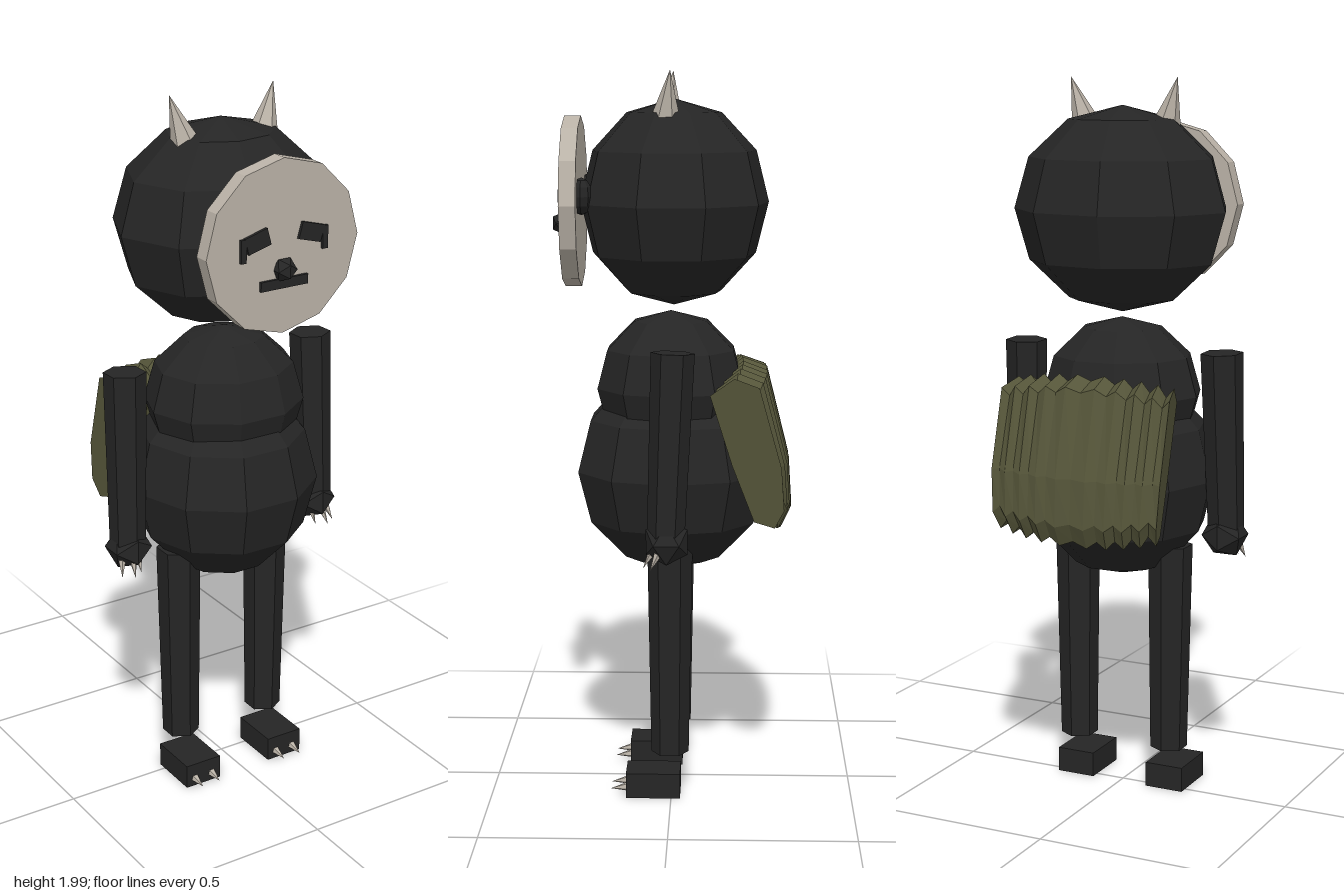
import * as THREE from 'three';

const flat = (name, color, side = THREE.FrontSide) =>
  new THREE.MeshStandardMaterial({ name, color, side, flatShading: true });

export function createModel() {
  const fur = flat('charcoal fur', 0x252525);
  const bone = flat('pale bone', 0xbab2a7);
  const moss = flat('moss green', 0x56563a, THREE.DoubleSide);
  const model = new THREE.Group();
  model.name = 'hornedCreature';

  const add = (name, geometry, material, x, y, z, parent = model) => {
    const mesh = new THREE.Mesh(geometry, material);
    mesh.name = name;
    mesh.position.set(x, y, z);
    parent.add(mesh);
    return mesh;
  };
  const ball = (rx, ry, rz, w, h) => new THREE.SphereGeometry(1, w, h).scale(rx, ry, rz);

  // Cone or tapered limb running between two points
  const UP = new THREE.Vector3(0, 1, 0);
  const limb = (name, from, to, r0, r1, sides, material) => {
    const a = new THREE.Vector3(...from), b = new THREE.Vector3(...to);
    const dir = b.clone().sub(a);
    const mid = a.clone().add(b).multiplyScalar(0.5);
    const mesh = add(name, new THREE.CylinderGeometry(r1, r0, dir.length(), sides), material, mid.x, mid.y, mid.z);
    mesh.quaternion.setFromUnitVectors(UP, dir.normalize());
    return mesh;
  };

  // Head and round body
  add('head', ball(0.305, 0.28, 0.264, 9, 6), fur, 0, 1.645, -0.003);
  add('chest', ball(0.225, 0.21, 0.21, 10, 6), fur, 0.005, 1.14, 0.005);
  add('belly', ball(0.266, 0.285, 0.272, 10, 6), fur, 0, 0.908, 0);

  // Mask with nose and mouth
  const mask = add('mask', new THREE.CylinderGeometry(0.232, 0.232, 0.045, 12), bone, 0, 1.647, 0.2725);
  mask.rotation.x = Math.PI / 2;
  add('nose', new THREE.IcosahedronGeometry(0.034, 0), fur, 0, 1.588, 0.3);
  add('mouth', new THREE.BoxGeometry(0.145, 0.026, 0.009), fur, 0, 1.552, 0.299);

  for (const s of [-1, 1]) {
    const side = s > 0 ? 'left' : 'right';

    // Eye marks on the mask and the bulges behind it
    const eye = add(side + 'EyePatch', new THREE.BoxGeometry(0.07, 0.046, 0.009), fur, s * 0.082, 1.675, 0.299);
    eye.rotation.z = -s * 0.27;
    add(side + 'EyeStreak', new THREE.BoxGeometry(0.016, 0.062, 0.009), fur, s * 0.125, 1.655, 0.299);
    add(side + 'EyeBridge', new THREE.BoxGeometry(0.03, 0.016, 0.009), fur, s * 0.115, 1.678, 0.299);
    add(side + 'EyeBulge', ball(0.05, 0.05, 0.03, 8, 6), fur, s * 0.14, 1.668, 0.24);

    // Horn
    limb(side + 'Horn', [s * 0.122, 1.875, 0.016], [s * 0.16, 2.0, 0.003], 0.039, 0, 6, bone);

    // Arm, hand and claws
    limb(side + 'Arm', [s * 0.31, 0.78, 0.01], [s * 0.3, 1.27, -0.008], 0.05, 0.058, 6, fur);
    add(side + 'Hand', new THREE.IcosahedronGeometry(0.065, 0), fur, s * 0.308, 0.765, 0.008);
    for (const k of [-1, 0, 1]) {
      limb(side + 'HandClaw', [s * 0.315 + k * 0.026, 0.74, 0.045 - Math.abs(k) * 0.015],
        [s * 0.322 + k * 0.03, 0.697, 0.07 - Math.abs(k) * 0.02], 0.011, 0, 5, bone);
    }

    // Leg, foot and toe claws
    limb(side + 'Leg', [s * 0.142, 0.13, 0.004], [s * 0.145, 0.72, 0.004], 0.052, 0.062, 6, fur);
    add(side + 'Foot', new THREE.BoxGeometry(0.112, 0.07, 0.15), fur, s * 0.14, 0.045, 0.05);
    for (const k of [-1, 1]) {
      limb(side + 'ToeClaw', [s * 0.14 + k * 0.028, 0.034, 0.12],
        [s * 0.14 + k * 0.028, 0.028, 0.168], 0.013, 0, 5, bone);
    }
  }

  // Pleated pack: closed side profiles (y, z), alternately full and pulled in
  const profile = [[1.16, -0.13], [1.215, -0.195], [1.19, -0.262], [0.95, -0.322],
    [0.82, -0.33], [0.765, -0.305], [0.78, -0.25], [0.95, -0.19]];
  const columns = 19, n = profile.length;
  const positions = [], index = [];
  for (let i = 0; i < columns; i++) {
    const u = (i / (columns - 1)) * 2 - 1;
    const across = Math.sign(u) * Math.abs(u) ** 0.8;
    const pull = i % 2 ? 0.93 - 0.08 * Math.abs(u) : 1;
    for (const [py, pz] of profile) {
      const y = 0.99 + (py - 0.99) * pull * (1 - 0.1 * u * u);
      const axis = -0.25 + (py - 0.99) * 0.24;
      const z = axis + (pz - axis) * pull + 0.025 * u * u;
      const flare = 0.92 - (pz - axis) * 1.1;
      positions.push(across * 0.255 * flare, y, z);
    }
  }
  for (let i = 0; i < columns - 1; i++) {
    for (let j = 0; j < n; j++) {
      const a = i * n + j, b = i * n + ((j + 1) % n);
      index.push(a, b, a + n, b, b + n, a + n);
    }
  }
  for (let j = 1; j < n - 1; j++) {
    const e = (columns - 1) * n;
    index.push(0, j + 1, j, e, e + j, e + j + 1);
  }
  const pack = new THREE.BufferGeometry();
  pack.setAttribute('position', new THREE.Float32BufferAttribute(positions, 3));
  pack.setIndex(index);
  pack.computeVertexNormals();
  add('pleatedPack', pack, moss, 0, 0, 0);

  return model;
}
